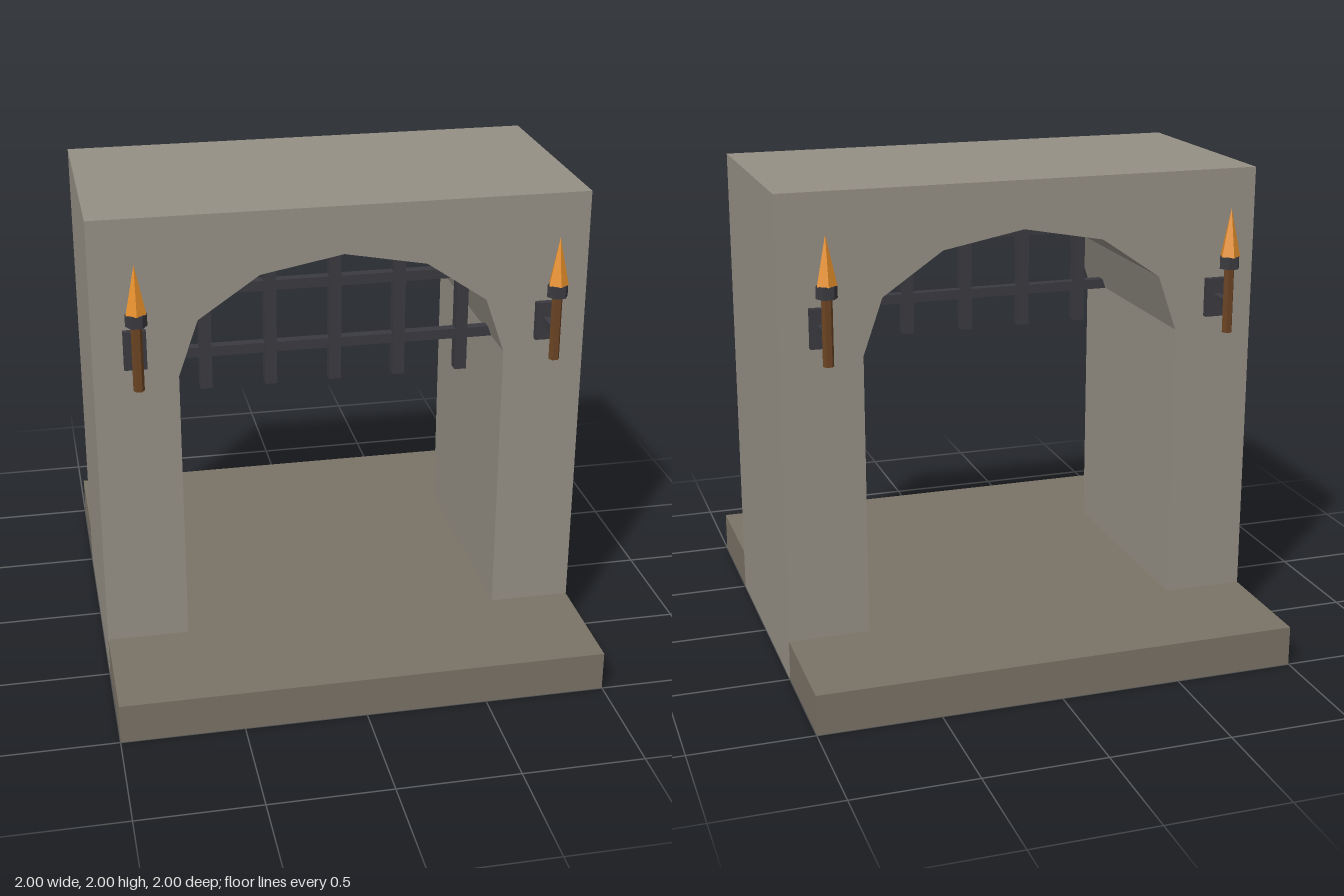
import * as THREE from 'three';

const mat = (color) => new THREE.MeshStandardMaterial({ color, flatShading: true });
const STONE = mat(0x958f85), FLOOR = mat(0x7a7265), IRON = mat(0x3a3a40);
const WOOD = mat(0x6b4423), FIRE = mat(0xe8912a);

function add(parent, name, geometry, material, x = 0, y = 0, z = 0) {
  const mesh = new THREE.Mesh(geometry, material);
  mesh.name = name;
  mesh.position.set(x, y, z);
  parent.add(mesh);
  return mesh;
}
const box = (w, h, d) => new THREE.BoxGeometry(w, h, d);
// Hexagonal post with corners on the x axis
const hexPost = (r, h) => new THREE.CylinderGeometry(r, r, h, 6).rotateY(Math.PI / 6);

// Right half of the faceted arch, from springing line to crown
const ARCH = [[0.663, 1.34], [0.583, 1.57], [0.335, 1.74], [0, 1.803]];

// Height of the arch underside at a given x
function archHeight(x) {
  const a = Math.abs(x);
  for (let i = 0; i < ARCH.length - 1; i++) {
    const [x0, y0] = ARCH[i], [x1, y1] = ARCH[i + 1];
    if (a >= x1) return y0 + ((x0 - a) / (x0 - x1)) * (y1 - y0);
  }
  return ARCH[3][1];
}

function gateGeometry() {
  const mirrored = ARCH.slice(0, -1).reverse().map(([x, y]) => [-x, y]);
  const outline = [
    [-1, 0.001], [-0.663, 0.001], ...mirrored.reverse(), ARCH[3],
    ...ARCH.slice(0, -1).reverse(), [0.663, 0.001], [1, 0.001], [1, 2], [-1, 2],
  ];
  const shape = new THREE.Shape(outline.map(([x, y]) => new THREE.Vector2(x, y)));
  return new THREE.ExtrudeGeometry(shape, { depth: 1, bevelEnabled: false }).translate(0, 0, -0.5);
}

// Wall torch facing +z, with its origin on the wall
function createTorch() {
  const torch = new THREE.Group();
  torch.name = 'torch';
  add(torch, 'wallPlate', box(0.09, 0.16, 0.025), IRON, 0, 1.47, 0.0125);
  add(torch, 'bracketArm', box(0.03, 0.03, 0.12), IRON, 0, 1.472, 0.073);
  add(torch, 'handle', hexPost(0.022, 0.28), WOOD, 0, 1.49, 0.133);
  add(torch, 'collar', hexPost(0.0425, 0.05), IRON, 0, 1.642, 0.133);
  add(torch, 'flame', new THREE.ConeGeometry(0.042, 0.197, 5), FIRE, 0, 1.764, 0.133);
  return torch;
}

export function createModel() {
  const model = new THREE.Group();
  model.name = 'castleGate';

  add(model, 'floorSlab', box(1.998, 0.167, 2), FLOOR, 0, 0.0835, 0);
  add(model, 'stoneArch', gateGeometry(), STONE);

  // Raised portcullis near the front
  const portcullis = new THREE.Group();
  portcullis.name = 'portcullis';
  portcullis.position.z = 0.3;
  model.add(portcullis);
  for (let i = -2; i <= 2; i++) {
    const x = i * 0.267, top = archHeight(x) + 0.03;
    add(portcullis, 'verticalBar', box(0.05, top - 1.2, 0.05), IRON, x, (top + 1.2) / 2);
  }
  add(portcullis, 'lowerCrossbar', box(1.326, 0.042, 0.042), IRON, 0, 1.36);
  add(portcullis, 'upperCrossbar', box(1.14, 0.042, 0.042), IRON, 0, 1.627);

  // A pair of torches on each face
  for (const side of [1, -1]) {
    for (const x of [-0.833, 0.833]) {
      const torch = createTorch();
      torch.position.set(x, 0, side * 0.5);
      if (side < 0) torch.rotation.y = Math.PI;
      model.add(torch);
    }
  }
  return model;
}
